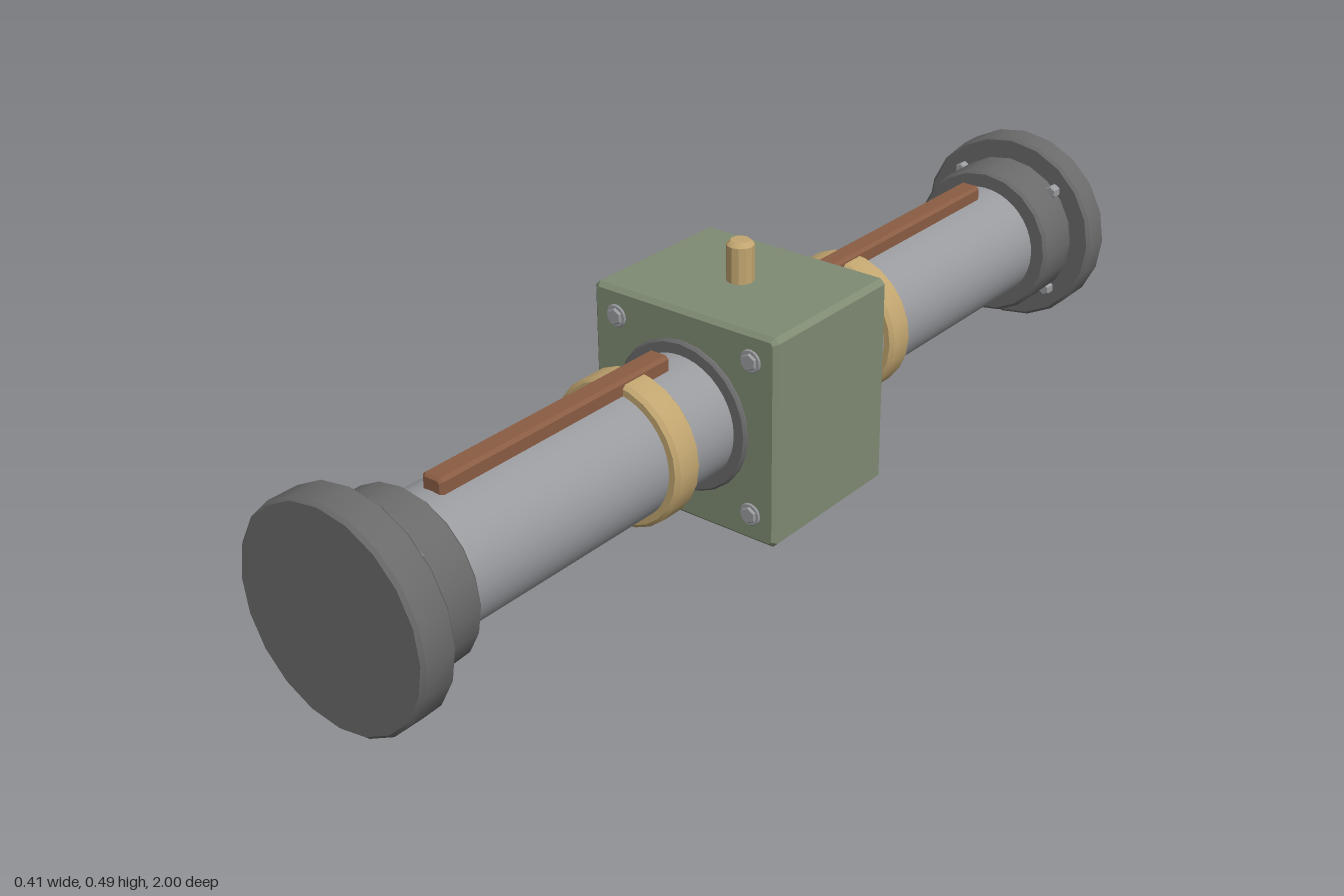
import * as THREE from 'three';
import { toCreasedNormals } from 'three/addons/utils/BufferGeometryUtils.js';

const AXIS_Y = 0.205; // height of the pipe axis

const mat = (name, color) => {
  const m = new THREE.MeshStandardMaterial({ color });
  m.name = name;
  return m;
};

// Chamfered disc along z, from z0 to z1, with a corner at the top
function disc(r, z0, z1, chamfer, sides) {
  const pts = [
    [0, z0], [r - chamfer, z0], [r, z0 + chamfer],
    [r, z1 - chamfer], [r - chamfer, z1], [0, z1],
  ].map(([x, y]) => new THREE.Vector2(x, y));
  const g = new THREE.LatheGeometry(pts, sides).rotateX(Math.PI / 2);
  return toCreasedNormals(g, 0.4);
}

// Box with every edge chamfered, centred on the origin
function chamferBox(w, h, d, c) {
  const x = w / 2 - c, y = h / 2 - c, k = c * 0.6;
  const s = new THREE.Shape([
    [-x + k, -y], [x - k, -y], [x, -y + k], [x, y - k],
    [x - k, y], [-x + k, y], [-x, y - k], [-x, -y + k],
  ].map(([a, b]) => new THREE.Vector2(a, b)));
  const g = new THREE.ExtrudeGeometry(s, {
    depth: d - 2 * c, bevelEnabled: true, bevelSegments: 1, bevelSize: c, bevelThickness: c,
  });
  return g.translate(0, 0, -d / 2 + c);
}

export function createModel() {
  const green = mat('green paint', 0x7f8b73);
  const steel = mat('steel', 0x999b9f);
  const dark = mat('dark iron', 0x6a6a6a);
  const brass = mat('brass', 0xc2a670);
  const wood = mat('brown strip', 0x8a5d44);

  const model = new THREE.Group();
  model.name = 'pipeAssembly';
  const add = (parent, name, geometry, material, x = 0, y = 0, z = 0) => {
    const mesh = new THREE.Mesh(geometry, material);
    mesh.name = name;
    mesh.position.set(x, y, z);
    parent.add(mesh);
    return mesh;
  };

  // Central housing and the knob on top
  add(model, 'housing', chamferBox(0.408, 0.408, 0.33, 0.008), green, 0, 0.204, 0);
  const knob = add(model, 'knob', disc(0.026, 0, 0.085, 0.008, 12), brass, 0, 0.4, 0);
  knob.rotation.x = -Math.PI / 2;

  // Two matching arms, the second turned to the back
  const washer = disc(0.022, 0, 0.005, 0.002, 20);
  const hexHead = disc(0.016, 0, 0.009, 0.002, 6);
  const flangeBolt = disc(0.014, 0, 0.022, 0.003, 6);
  for (const side of [1, -1]) {
    const arm = new THREE.Group();
    arm.name = side > 0 ? 'frontArm' : 'backArm';
    arm.position.y = AXIS_Y;
    if (side < 0) arm.rotation.y = Math.PI;
    model.add(arm);

    add(arm, 'pipe', disc(0.12, 0.1, 0.95, 0.002, 40), steel);
    add(arm, 'housingRing', disc(0.145, 0.15, 0.174, 0.004, 24), dark);
    add(arm, 'clamp', disc(0.14, 0.288, 0.35, 0.007, 24), brass);
    add(arm, 'strip', chamferBox(0.044, 0.036, 0.55, 0.005), wood, 0, 0.128, 0.5);
    add(arm, 'collar', disc(0.155, 0.83, 0.94, 0.006, 20), dark);
    add(arm, 'flange', disc(0.2, 0.93, side > 0 ? 1 : 0.993, 0.006, 20), dark);

    // Bolts on the housing face and behind the flange
    for (const sx of [-1, 1]) {
      for (const sy of [-1, 1]) {
        add(arm, 'boltWasher', washer, steel, sx * 0.15, sy * 0.15, 0.164);
        add(arm, 'boltHead', hexHead, steel, sx * 0.15, sy * 0.15, 0.165);
        add(arm, 'flangeBolt', flangeBolt, steel, sx * 0.11, sy * 0.11, 0.91);
      }
    }
    // Pale disc set into the back flange
    if (side < 0) add(arm, 'endDisc', disc(0.11, 0.98, 1, 0.002, 32), steel);
  }
  return model;
}
